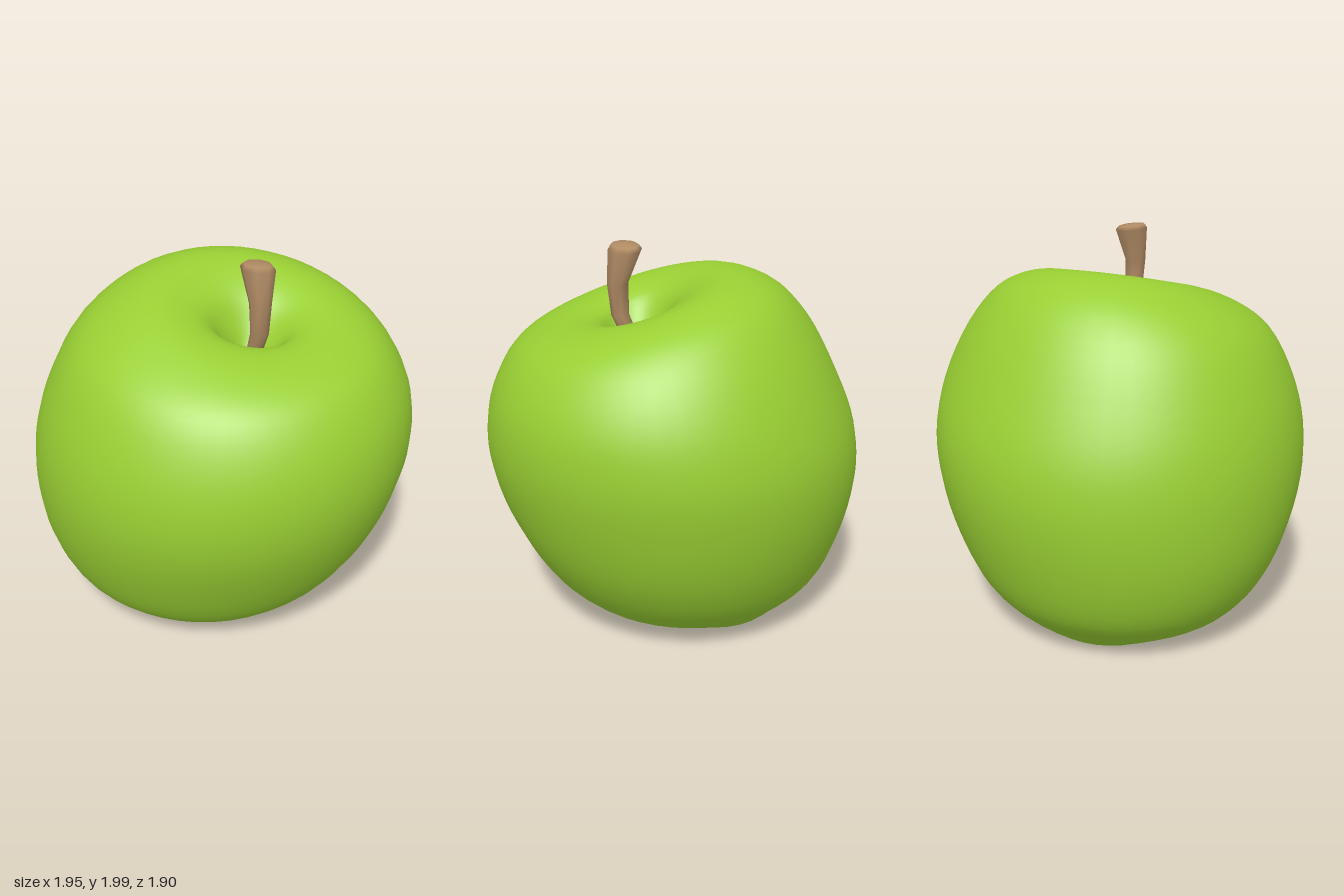
import * as THREE from 'three';
import { mergeVertices } from 'three/addons/utils/BufferGeometryUtils.js';

const COLS = 48, STEPS = 68;

// Body cross-sections from the bottom pit, around the outside, into the stem pit:
// [height, slope in x, slope in z, min x, max x, min z, max z]
const RINGS = [
  [0.27, 0, 0, -0.16, -0.16, -0.08, -0.08],
  [0.2, 0, 0, -0.22, -0.08, -0.17, 0.01],
  [0.09, 0, 0, -0.31, 0.06, -0.28, 0.11],
  [0.012, 0, 0, -0.46, 0.25, -0.44, 0.27],
  [0.025, 0, 0, -0.56, 0.37, -0.54, 0.4],
  [0.1, 0, 0, -0.7, 0.5, -0.65, 0.53],
  [0.25, 0, 0, -0.84, 0.67, -0.78, 0.68],
  [0.5, 0, 0, -0.94, 0.83, -0.88, 0.82],
  [0.8, 0, 0, -0.975, 0.93, -0.94, 0.93],
  [1.05, 0, 0, -0.955, 0.97, -0.925, 0.95],
  [1.3, 0, -0.02, -0.88, 0.94, -0.83, 0.9],
  [1.55, -0.02, -0.09, -0.74, 0.82, -0.67, 0.795],
  [1.69, -0.05, -0.17, -0.56, 0.68, -0.51, 0.67],
  [1.77, -0.11, -0.255, -0.33, 0.5, -0.28, 0.47],
  [1.725, -0.12, -0.26, -0.1, 0.36, -0.06, 0.34],
  [1.61, -0.1, -0.25, 0, 0.25, 0.03, 0.27],
  [1.47, 0, 0, 0.07, 0.16, 0.09, 0.18],
  [1.4, 0, 0, 0.12, 0.12, 0.14, 0.14],
];

// Skins a list of closed rings of points, running bottom to top
function loft(rings) {
  const n = rings[0].length, pos = [], index = [];
  rings.forEach((ring) => ring.forEach((p) => pos.push(p.x, p.y, p.z)));
  for (let i = 0; i < rings.length - 1; i++) {
    for (let j = 0; j < n; j++) {
      const k = (j + 1) % n;
      const a = i * n + j, b = i * n + k, c = a + n, d = b + n;
      index.push(a, c, b, b, c, d);
    }
  }
  let geo = new THREE.BufferGeometry();
  geo.setAttribute('position', new THREE.Float32BufferAttribute(pos, 3));
  geo.setIndex(index);
  geo = mergeVertices(geo, 1e-4);
  geo.computeVertexNormals();
  return geo;
}

function bodyGeometry() {
  // One smooth curve per column, passing through every cross-section
  const columns = [];
  for (let j = 0; j < COLS; j++) {
    const t = (j / COLS) * Math.PI * 2, c = Math.cos(t), s = Math.sin(t);
    // Slight bulge towards the front left
    const bulge = 1 + 0.018 * Math.max(0, Math.cos(t - Math.PI / 4)) ** 4;
    const points = RINGS.map(([y, sx, sz, x0, x1, z0, z1], i) => {
      // The base stands on four soft lobes, raised a little at the sides
      const base = i === 3 || i === 4;
      const r = bulge * (base ? 1 + 0.08 * Math.sin(2 * t) ** 2 : 1);
      const lift = base ? 0.03 * c ** 6 : 0;
      const x = (x0 + x1) / 2 + ((x1 - x0) / 2) * c * r;
      const z = (z0 + z1) / 2 + ((z1 - z0) / 2) * s * r;
      return new THREE.Vector3(x, y + sx * x + sz * z + lift, z);
    });
    columns.push(new THREE.CatmullRomCurve3(points));
  }
  const rings = [];
  for (let i = 0; i <= STEPS; i++) rings.push(columns.map((curve) => curve.getPoint(i / STEPS)));
  return loft(rings);
}

function stemGeometry() {
  // [x, y, z, radius, slope in x, slope in z]
  const sections = [
    [0.1, 1.38, 0.12, 0.035, 0, 0],
    [0.145, 1.52, 0.19, 0.04, 0, 0],
    [0.163, 1.64, 0.237, 0.045, 0, 0],
    [0.163, 1.8, 0.247, 0.054, 0, 0],
    [0.153, 1.97, 0.21, 0.085, -0.08, 0.08],
    [0.15, 1.99, 0.21, 0.068, -0.08, 0.08],
    [0.15, 1.997, 0.21, 0, 0, 0],
  ];
  const rings = sections.map(([x, y, z, r, sx, sz]) => Array.from({ length: 8 }, (_, j) => {
    const t = ((j + 0.3) / 8) * Math.PI * 2, dx = r * Math.cos(t), dz = r * Math.sin(t);
    return new THREE.Vector3(x + dx, y + sx * dx + sz * dz, z + dz);
  }));
  return loft(rings);
}

export function createModel() {
  const skin = new THREE.MeshStandardMaterial({ color: 0x99cf33 });
  skin.name = 'greenSkin';
  const wood = new THREE.MeshStandardMaterial({ color: 0xb08b64 });
  wood.name = 'brownStem';

  const body = new THREE.Mesh(bodyGeometry(), skin);
  body.name = 'body';
  const stem = new THREE.Mesh(stemGeometry(), wood);
  stem.name = 'stem';

  const model = new THREE.Group();
  model.name = 'apple';
  model.add(body, stem);
  return model;
}
